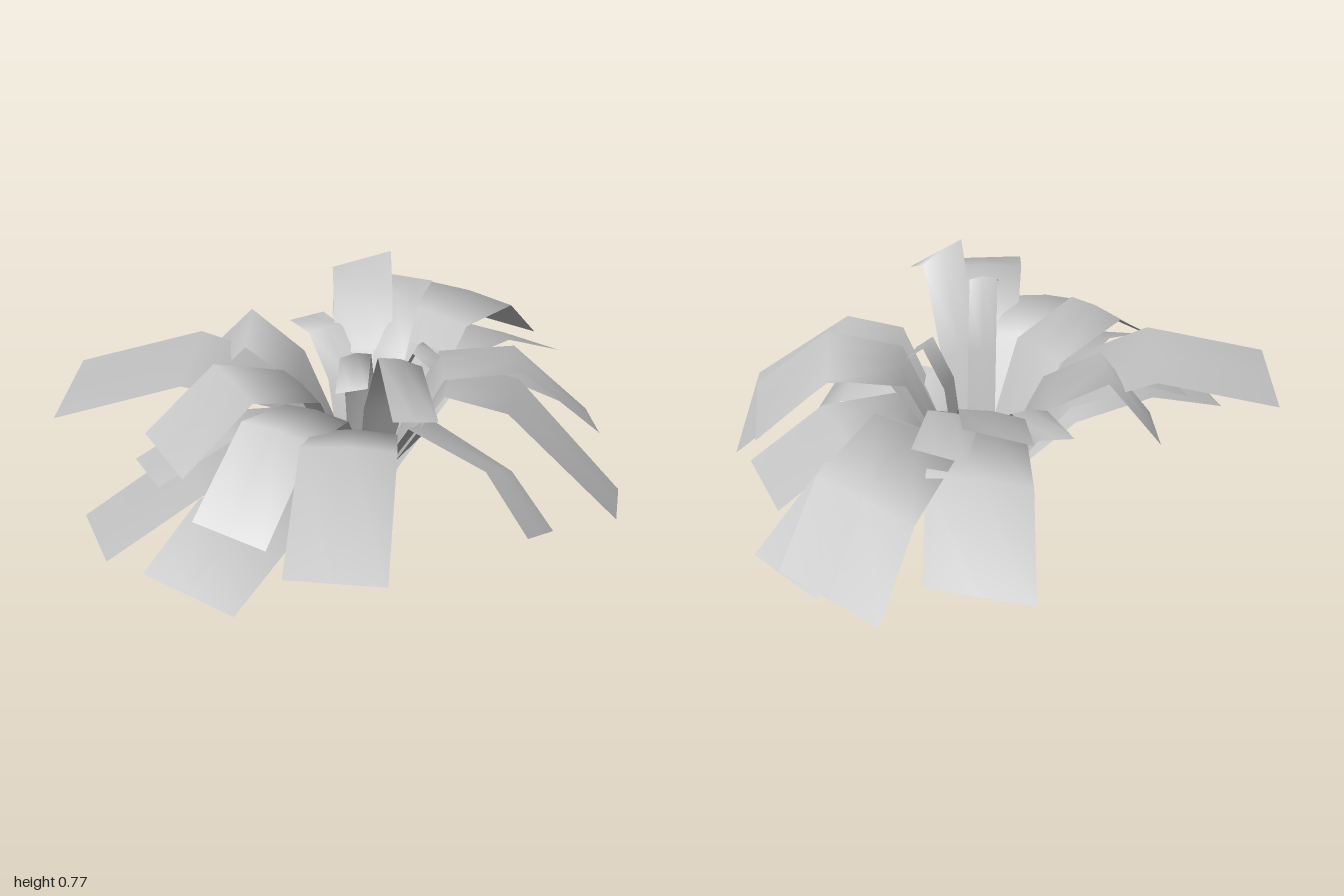
import * as THREE from 'three';

const leafGrey = new THREE.MeshStandardMaterial({ color: 0xc4c4c4, side: THREE.DoubleSide });
leafGrey.name = 'leafGrey';

// One bent leaf: a and b are the two tip corners, h1 and h2 the heights of the
// two bends, t1 and t2 how far out they lie, base the height of the root,
// root its width, and roll how much the b side is raised at the bends.
function makeLeaf(name, a, b, h1, h2, { t1 = 0.33, t2 = 0.66, base = 0.04, root = 0.15, roll = 0 } = {}) {
  const A = new THREE.Vector3(...a), B = new THREE.Vector3(...b);
  const mid = A.clone().add(B).multiplyScalar(0.5);
  const half = B.clone().sub(A).multiplyScalar(0.5);
  const t0 = 0.06 / Math.hypot(mid.x, mid.z);
  const rootScale = Math.min(1, root / (2 * half.length()));
  const rows = [
    [t0, base, rootScale, 0],
    [t1, h1, 0.75 + 0.25 * rootScale, roll],
    [t2, h2, 0.98, roll],
    [1, mid.y, 1, 0],
  ];
  const pos = [], index = [];
  rows.forEach(([t, y, w, lift], i) => {
    for (let j = -1; j <= 1; j++) {
      const arch = j === 0 && i > 0 && i < 3 ? 0.012 : 0;
      pos.push(mid.x * t + half.x * w * j, y + arch + (half.y * w * t + lift) * j, mid.z * t + half.z * w * j);
    }
    if (i < 3) {
      for (let j = 0; j < 2; j++) {
        const k = i * 3 + j;
        index.push(k, k + 1, k + 3, k + 1, k + 4, k + 3);
      }
    }
  });
  // Keep the upper side as the front of the sheet
  const up = half.z * mid.x - half.x * mid.z;
  if (up > 0) {
    for (let i = 0; i < index.length; i += 3) [index[i], index[i + 1]] = [index[i + 1], index[i]];
  }
  const geo = new THREE.BufferGeometry();
  geo.setAttribute('position', new THREE.Float32BufferAttribute(pos, 3));
  geo.setIndex(index);
  geo.computeVertexNormals();
  const mesh = new THREE.Mesh(geo, leafGrey);
  mesh.name = name;
  return mesh;
}

export function createModel() {
  const plant = new THREE.Group();
  plant.name = 'plant';
  const leaf = (...args) => plant.add(makeLeaf(...args));

  // Back leaves
  leaf('backLeaf', [-0.18, 0.19, -1.0], [0.21, 0.22, -0.95], 0.49, 0.43, { t1: 0.44, t2: 0.77, root: 0.2 });
  leaf('backLowerLeaf', [0.07, 0.17, -0.96], [0.34, 0.2, -0.9], 0.4, 0.37);
  leaf('backRightSideLeaf', [-0.57, 0.22, -0.73], [-0.25, 0.27, -0.86], 0.47, 0.45);
  leaf('backLeftSideLeaf', [0.4, 0.2, -0.68], [0.63, 0.22, -0.51], 0.38, 0.38);
  leaf('innerBackLeaf', [-0.24, 0.53, -0.56], [-0.06, 0.54, -0.58], 0.42, 0.55, { root: 0.2 });

  // Leaves on the model's left
  leaf('leftUpperLeaf', [0.64, 0.27, -0.46], [0.78, 0.34, -0.24], 0.5, 0.54);
  leaf('leftLeaf', [0.84, 0.07, -0.33], [0.955, 0.2, 0.0], 0.5, 0.48, { t1: 0.34, t2: 0.58 });
  leaf('leftLowerLeaf', [0.73, 0.04, -0.03], [0.72, 0.13, 0.16], 0.33, 0.27, { t2: 0.76, roll: 0.02 });

  // Front leaves
  leaf('frontLeftLeaf', [0.6, 0.38, 0.86], [0.33, 0.39, 1.0], 0.45, 0.56, { t1: 0.35, t2: 0.6 });
  leaf('frontLowerLeaf', [0.115, 0.12, 0.96], [-0.21, 0.17, 0.99], 0.22, 0.24, { t1: 0.36, t2: 0.72, roll: 0.03 });
  leaf('frontUpperLeaf', [0.12, 0.26, 0.79], [-0.13, 0.3, 0.83], 0.46, 0.51, { t1: 0.38, t2: 0.66 });
  leaf('frontRightLowerLeaf', [-0.39, 0.12, 0.96], [-0.65, 0.08, 0.77], 0.24, 0.25);
  leaf('frontRightUpperLeaf', [-0.24, 0.36, 0.73], [-0.48, 0.39, 0.62], 0.48, 0.57);
  leaf('frontRightInnerLeaf', [-0.39, 0.24, 0.68], [-0.58, 0.22, 0.57], 0.32, 0.36);

  // Leaves on the model's right
  leaf('rightLongLeaf', [-0.79, 0.4, 0.72], [-0.96, 0.4, 0.38], 0.42, 0.52, { t1: 0.3, t2: 0.58 });
  leaf('rightLeaf', [-0.54, 0.33, 0.25], [-0.66, 0.36, 0.04], 0.43, 0.56, { t1: 0.38, t2: 0.7, root: 0.18 });
  leaf('rightNarrowLeaf', [-0.44, 0.45, -0.18], [-0.35, 0.47, -0.27], 0.36, 0.48);

  // Upright young leaves in the middle
  leaf('tallLeaf', [0.475, 0.61, 0.35], [0.385, 0.65, 0.475], 0.44, 0.74, { t1: 0.38, t2: 0.7, root: 0.1, roll: 0.02 });
  leaf('raisedLeaf', [-0.41, 0.57, -0.43], [-0.22, 0.64, -0.54], 0.42, 0.56, { t1: 0.35, t2: 0.66, root: 0.17 });
  leaf('youngFrontLeaf', [0.205, 0.63, 0.325], [0.125, 0.62, 0.39], 0.46, 0.69, { t1: 0.4, t2: 0.72, root: 0.1 });
  leaf('youngSideLeaf', [0.225, 0.53, -0.12], [0.235, 0.53, -0.03], 0.42, 0.58, { t1: 0.45, t2: 0.75, base: 0, root: 0.08 });

  return plant;
}
